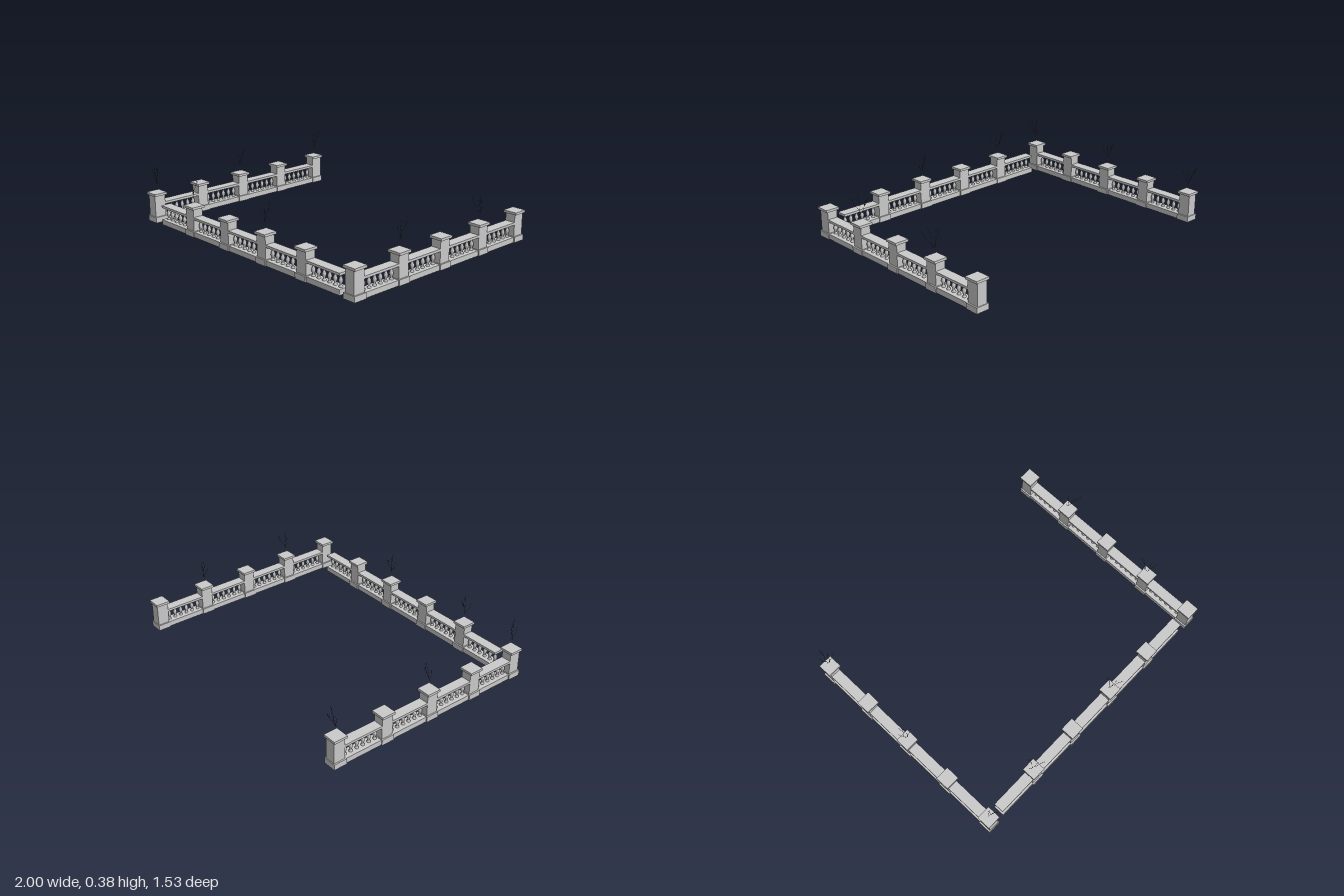
import * as THREE from 'three';

const stone = new THREE.MeshStandardMaterial({ color: 0xcacaca });
stone.name = 'stone';
const bark = new THREE.MeshStandardMaterial({ color: 0x3e3b38 });
bark.name = 'dark bark';

const PITCH = 0.355; // distance between pillar centres
const SHAFT = 0.08; // pillar shaft length along the run

function add(parent, name, geometry, material, x = 0, y = 0, z = 0) {
  const mesh = new THREE.Mesh(geometry, material);
  mesh.name = name;
  mesh.position.set(x, y, z);
  parent.add(mesh);
  return mesh;
}

// Box given by its bottom and top heights
function slab(parent, name, bottom, top, length, depth) {
  add(parent, name, new THREE.BoxGeometry(length, top - bottom, depth), stone, 0, (bottom + top) / 2);
}

// Turned vase-shaped baluster
const balusterGeometry = new THREE.LatheGeometry([
  [0.012, 0.033], [0.012, 0.041], [0.006, 0.046], [0.008, 0.056], [0.013, 0.07],
  [0.012, 0.081], [0.006, 0.098], [0.006, 0.104], [0.011, 0.109], [0.011, 0.118],
].map(([r, y]) => new THREE.Vector2(r, y)), 10);

function pillar(x) {
  const g = new THREE.Group();
  g.name = 'pillar';
  g.position.x = x;
  slab(g, 'pillarBase', 0, 0.038, 0.09, 0.09);
  slab(g, 'pillarShaft', 0.038, 0.184, SHAFT, 0.07);
  slab(g, 'pillarCap', 0.184, 0.2, 0.095, 0.095);
  return g;
}

// Plinth, handrail and balusters between two shafts
function railing(x, pitch) {
  const g = new THREE.Group();
  g.name = 'railing';
  g.position.x = x;
  const length = pitch - SHAFT;
  slab(g, 'plinth', 0, 0.035, length, 0.074);
  slab(g, 'handrail', 0.116, 0.132, length, 0.07);
  for (let i = 0; i < 6; i++) {
    add(g, 'baluster', balusterGeometry, stone, (i - 2.5) * 0.045);
  }
  return g;
}

// Straight run of alternating pillars and railings, along local x
function run(name, pillars, sections, pitch) {
  const g = new THREE.Group();
  g.name = name;
  for (let i = 0; i < pillars; i++) g.add(pillar((i - (pillars - 1) / 2) * pitch));
  for (let i = 0; i < sections; i++) g.add(railing((i - (sections - 1) / 2) * pitch, pitch));
  return g;
}

// Thin twig through a few points
function twig(parent, points) {
  const curve = new THREE.CatmullRomCurve3(points);
  add(parent, 'twig', new THREE.TubeGeometry(curve, 8, 0.001, 4), bark);
}

// Spray of bare twigs: tips spread over x0..x1 and z0..z1 around the base
function plant(x, z, x0, x1, z0, z1) {
  const g = new THREE.Group();
  g.name = 'barePlant';
  g.position.set(x, 0.26, z);
  const heights = [0.1, 0.118, 0.122, 0.1];
  const zOrder = [0.5, 0, 0.7, 1];
  heights.forEach((h, i) => {
    const tip = new THREE.Vector3(x0 + (x1 - x0) * i / 3, h, z0 + (z1 - z0) * zOrder[i]);
    const root = new THREE.Vector3((i - 1.5) * 0.005, 0, 0);
    const bend = (i % 2 ? 1 : -1) * 0.006;
    const at = (t, side) => root.clone().lerp(tip, t).add(new THREE.Vector3(side, 0, 0));
    twig(g, [root, at(0.25, -bend), at(0.5, bend), at(0.75, bend * 0.3), tip]);
    // short side shoot
    if (i === 1) twig(g, [at(0.5, bend), at(0.7, bend * 2), at(0.9, bend * 2.2)]);
  });
  return g;
}

export function createModel() {
  const model = new THREE.Group();
  model.name = 'balustrade';

  const front = run('frontBalustrade', 4, 5, PITCH + 0.002);
  front.position.set(-0.008, 0, 0.712);
  model.add(front);

  for (const [name, x] of [['rightBalustrade', -0.953], ['leftBalustrade', 0.935]]) {
    const wing = run(name, 5, 4, PITCH);
    wing.rotation.y = Math.PI / 2;
    wing.position.set(x, 0, 0.008);
    model.add(wing);
  }

  // x, z, then tip spread in x and z
  const plants = [
    [-0.95, -0.7, -0.035, 0.055, -0.065, 0.008],
    [-0.95, 0.01, -0.035, 0.045, -0.05, 0],
    [-0.945, 0.718, -0.02, 0.035, -0.005, 0.043],
    [-0.545, 0.714, -0.045, 0.055, -0.045, 0.04],
    [0.171, 0.714, -0.035, 0.05, -0.045, 0.045],
    [0.938, -0.343, -0.05, 0.058, -0.015, 0.045],
    [0.935, 0.36, -0.035, 0.04, -0.068, 0.037],
  ];
  for (const p of plants) model.add(plant(...p));
  return model;
}
